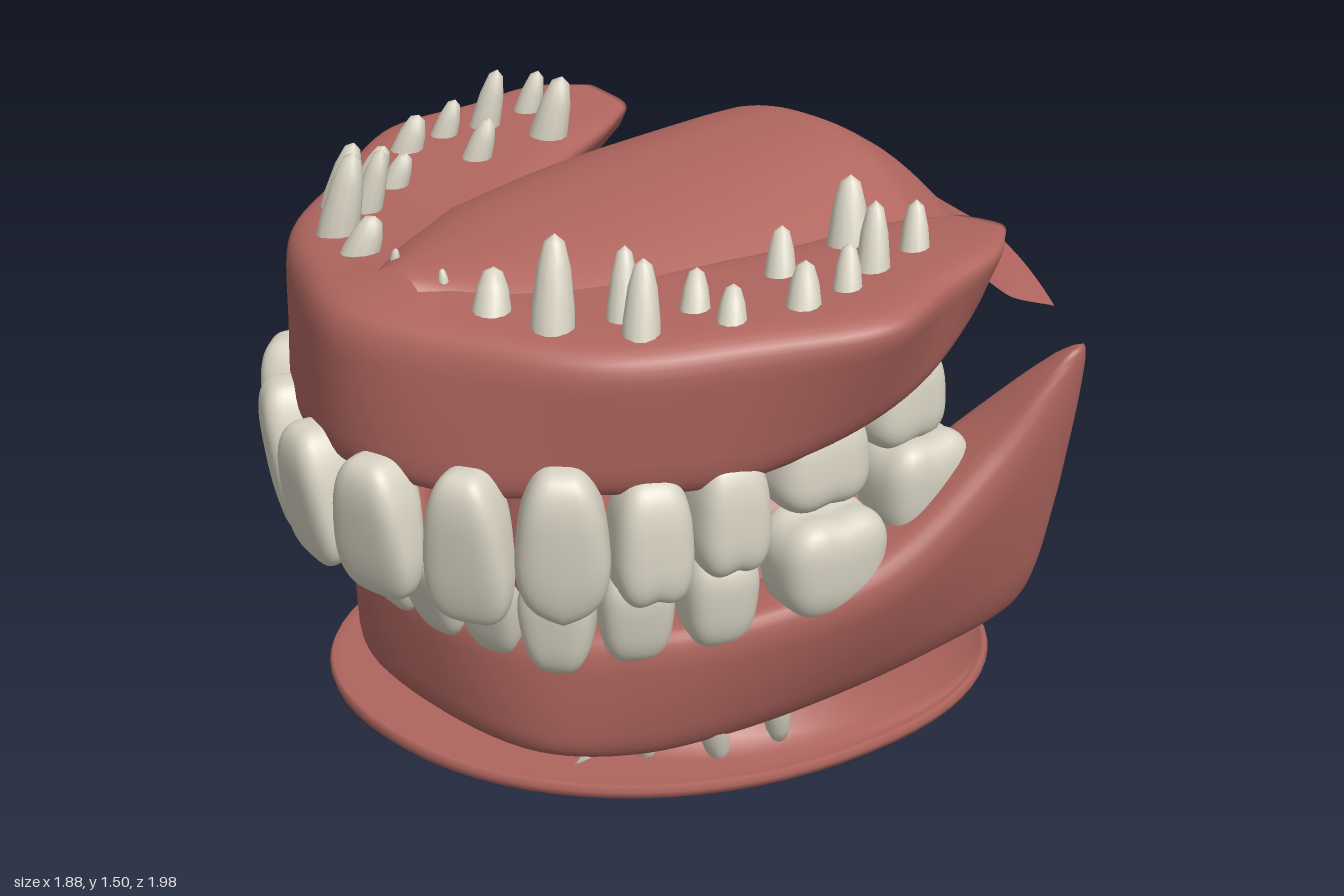
import * as THREE from 'three';
import { mergeVertices } from 'three/addons/utils/BufferGeometryUtils.js';

const gumMat = new THREE.MeshStandardMaterial({ color: 0xb0665f, side: THREE.DoubleSide });
gumMat.name = 'gum pink';
const toothMat = new THREE.MeshStandardMaterial({ color: 0xd8d3c3 });
toothMat.name = 'tooth ivory';

const V = (x, y, z) => new THREE.Vector3(x, y, z);
const pow = (q, p) => Math.sign(q) * Math.pow(Math.abs(q), p);

function add(parent, name, geo, mat) {
  const m = new THREE.Mesh(geo, mat);
  m.name = name;
  parent.add(m);
  return m;
}

// Skin a list of equal-length rings; optionally wrap them round and cap the ends
function loft(rings, wrap, caps) {
  const n = rings[0].length, pts = rings.flat(), idx = [];
  for (let i = 0; i < rings.length - 1; i++)
    for (let j = 0; j < (wrap ? n : n - 1); j++) {
      const k = (j + 1) % n, a = i * n + j, b = i * n + k;
      idx.push(a, a + n, b, b, a + n, b + n);
    }
  if (caps) {
    const last = (rings.length - 1) * n, c = pts.length;
    for (const ring of [rings[0], rings[rings.length - 1]])
      pts.push(ring.reduce((s, p) => s.add(p), V(0, 0, 0)).divideScalar(n));
    for (let j = 0; j < n; j++) {
      const k = (j + 1) % n;
      idx.push(c, j, k, c + 1, last + k, last + j);
    }
  }
  const g = new THREE.BufferGeometry().setFromPoints(pts);
  g.setIndex(idx);
  g.computeVertexNormals();
  return g;
}

// Horseshoe gum: each station lists outer-top, outer-bottom, inner-bottom, inner-top corners;
// bulge swells (or hollows) the outer wall
function horseshoe(stations, bulge) {
  const mirror = stations.slice(1).reverse().map(s => s.map((v, i) => (i % 3 ? v : -v)));
  const all = [...mirror, ...stations];
  const [A, B, C, D] = [0, 3, 6, 9].map(o =>
    new THREE.CatmullRomCurve3(all.map(s => V(s[o], s[o + 1], s[o + 2]))));
  const rings = [], N = 98, M = 36;
  for (let i = 0; i <= N; i++) {
    const [a, b, c, d] = [A, B, C, D].map(q => q.getPoint(i / N));
    const side = Math.min(1, Math.abs(i / N - 0.5) * 4), ring = [];
    for (let j = 0; j < M; j++) {
      const t = j / M * Math.PI * 2;
      const v = (pow(Math.sin(t), 0.44) + 1) / 2, w = (pow(Math.cos(t), 0.44) + 1) / 2;
      const u = w * (1 + bulge * side * 4 * v * (1 - v));
      ring.push(d.clone().lerp(a, u).multiplyScalar(v).add(c.clone().lerp(b, u).multiplyScalar(1 - v)));
    }
    rings.push(ring);
  }
  return loft(rings, true, true);
}

// Tooth crown, neck up and biting edge down
function toothGeometry(w, h, d, kind) {
  let g = new THREE.SphereGeometry(1, 32, 24);
  const p = g.attributes.position;
  for (let i = 0; i < p.count; i++) {
    const x = pow(p.getX(i), 0.55), z = pow(p.getZ(i), 0.65);
    let y = pow(p.getY(i), 0.7);
    const t = (y + 1) / 2;
    let fx = 1.12 - 0.36 * t * t, fz = 0.45 + 0.55 * t;
    if (kind === 'canine') { y += 0.22 * (1 - t) * Math.abs(x); fz = 0.6 + 0.4 * t; }
    if (kind === 'molar') {
      y -= 0.16 * (1 - t) * (Math.abs(z) + 0.5 * Math.abs(Math.sin(x * 3)) - 0.7);
      fx = 1.08 - 0.2 * t * t;
      fz = 0.95 - 0.1 * t;
    }
    p.setXYZ(i, x * fx * w / 2, y * h / 2, z * fz * d / 2);
  }
  g.deleteAttribute('uv');
  g.deleteAttribute('normal');
  g = mergeVertices(g, 1e-4);
  g.computeVertexNormals();
  return g;
}

// Rows of x, y, z, width, height, depth, yaw, tilt
function toothRow(group, rows, name, lower) {
  rows.forEach(([x, y, z, w, h, d, yaw, tilt], i) => {
    const kind = i < 2 ? 'incisor' : i < 3 ? 'canine' : 'molar';
    const geo = toothGeometry(w, h, d, kind);
    for (const s of [1, -1]) {
      const m = add(group, name + ' ' + kind, geo, toothMat);
      m.position.set(s * x, y, z);
      m.rotation.set(tilt, s * yaw, lower ? Math.PI : 0, 'YXZ');
    }
  });
}

// Mirrored pair of tapering root tips
const rootGeo = new THREE.LatheGeometry(
  [[1, 0], [0.95, 0.35], [0.75, 0.7], [0.45, 0.93], [0, 1]].map(([x, y]) => new THREE.Vector2(x, y)), 12);
function roots(group, name, x, y, z, tx, ty, tz, r) {
  for (const s of [1, -1]) {
    const from = V(s * x, y, z), dir = V(s * tx, ty, tz).sub(from);
    const m = add(group, name, rootGeo, toothMat);
    m.position.copy(from);
    m.scale.set(r, dir.length(), r);
    m.quaternion.setFromUnitVectors(V(0, 1, 0), dir.normalize());
  }
}

export function createModel() {
  const model = new THREE.Group();
  model.name = 'jaws';

  // Gums
  add(model, 'upperGum', horseshoe([
    [0, 1.31, 0.92, 0, 0.93, 0.92, 0, 1, 0.7, 0, 1.35, 0.66],
    [0.29, 1.31, 0.81, 0.32, 0.93, 0.83, 0.24, 1.02, 0.62, 0.12, 1.33, 0.59],
    [0.57, 1.31, 0.65, 0.52, 0.95, 0.65, 0.36, 1, 0.5, 0.15, 1.32, 0.44],
    [0.76, 1.33, 0.38, 0.66, 0.94, 0.4, 0.46, 1, 0.34, 0.21, 1.32, 0.24],
    [0.91, 1.35, 0.13, 0.75, 1, 0.13, 0.52, 1.05, 0.12, 0.31, 1.33, 0.03],
    [0.85, 1.37, -0.1, 0.77, 1.07, -0.08, 0.56, 1.1, -0.08, 0.38, 1.34, -0.12],
    [0.82, 1.38, -0.28, 0.73, 1.16, -0.26, 0.58, 1.18, -0.26, 0.44, 1.35, -0.26],
    [0.72, 1.37, -0.4, 0.69, 1.26, -0.39, 0.57, 1.27, -0.38, 0.54, 1.35, -0.4],
  ], -0.03), gumMat);
  add(model, 'lowerGum', horseshoe([
    [0, 0.57, 0.73, 0, 0.24, 0.71, 0, 0.27, 0.5, 0, 0.57, 0.53],
    [0.31, 0.57, 0.66, 0.32, 0.24, 0.66, 0.23, 0.27, 0.45, 0.24, 0.57, 0.48],
    [0.52, 0.59, 0.51, 0.47, 0.24, 0.5, 0.36, 0.27, 0.37, 0.38, 0.59, 0.4],
    [0.69, 0.63, 0.29, 0.57, 0.26, 0.29, 0.46, 0.29, 0.25, 0.5, 0.62, 0.27],
    [0.83, 0.72, 0.05, 0.65, 0.29, 0.03, 0.54, 0.33, 0.03, 0.58, 0.72, 0.05],
    [0.91, 0.94, -0.19, 0.73, 0.34, -0.2, 0.57, 0.38, -0.24, 0.66, 0.91, -0.22],
    [0.955, 1.165, -0.4, 0.79, 0.4, -0.4, 0.58, 0.44, -0.43, 0.86, 1.11, -0.42],
    [0.81, 0.95, -0.55, 0.75, 0.46, -0.52, 0.7, 0.47, -0.53, 0.75, 0.92, -0.57],
  ], 0.14), gumMat);

  // Palate sheet with a hanging uvula: half width, middle height, edge height along the depth
  const palate = new THREE.CatmullRomCurve3([V(0.09, 1.36, 1.31), V(0.26, 1.36, 1.27), V(0.42, 1.38, 1.25),
    V(0.47, 1.41, 1.25), V(0.45, 1.43, 1.25), V(0.43, 1.44, 1.24), V(0.43, 1.37, 1.14),
    V(0.43, 1.22, 1.01), V(0.43, 1.11, 0.94)]);
  const palateZ = [0.75, 0.6, 0.35, 0, -0.25, -0.45, -0.6, -0.77, -0.94];
  const rows = [];
  for (let i = 0; i <= 64; i++) {
    const f = i / 8, k = Math.min(7, Math.floor(f));
    const z = palateZ[k] + (palateZ[k + 1] - palateZ[k]) * (f - k);
    const q = palate.getPoint(i / 64), drop = Math.max(0, (-z - 0.76) / 0.18), row = [];
    for (let j = 0; j <= 40; j++) {
      const u = 1 - j / 20, x = u * q.x, bump = drop * Math.exp(-((x / 0.07) ** 2));
      row.push(V(x, q.y - (q.y - q.z) * Math.abs(u) ** 2.5 - 0.24 * drop * bump, z - 0.06 * bump));
    }
    rows.push(row);
  }
  add(model, 'palate', loft(rows, false, false), gumMat);

  // Tongue: domed body, flatter below and longer in front
  const tongueGeo = new THREE.SphereGeometry(1, 48, 32);
  const tp = tongueGeo.attributes.position;
  for (let i = 0; i < tp.count; i++) {
    const y = tp.getY(i), z = tp.getZ(i);
    tp.setXYZ(i, tp.getX(i) * 0.56, 0.42 + y * (y > 0 ? 0.5 : 0.42), -0.25 + z * (z > 0 ? 0.66 : 0.59));
  }
  tongueGeo.computeVertexNormals();
  add(model, 'tongue', tongueGeo, gumMat);

  // Tilted floor rim flaring up into a cup round the tongue: height, slope, centre z, radii
  const ring = ([y, slope, cz, rx, rz]) => Array.from({ length: 72 }, (_, j) => {
    const a = j / 72 * Math.PI * 2, z = cz + rz * pow(Math.sin(a), 0.92);
    return V(rx * pow(Math.cos(a), 0.92), y + slope * z, z);
  });
  add(model, 'floorCup', loft([
    [0.165, 0.1, -0.04, 0.65, 0.83], [0.148, 0.1, -0.035, 0.67, 0.85], [0.148, 0.1, -0.035, 0.69, 0.868],
    [0.165, 0.1, -0.035, 0.697, 0.872], [0.18, 0.1, -0.035, 0.69, 0.865], [0.172, 0.1, -0.04, 0.672, 0.852],
    [0.174, 0.1, -0.14, 0.645, 0.75], [0.19, 0.1, -0.21, 0.62, 0.675], [0.32, 0.09, -0.235, 0.595, 0.64],
    [0.48, 0.07, -0.25, 0.57, 0.605], [0.49, 0.07, -0.25, 0.54, 0.575],
  ].map(ring), true, false), gumMat);

  // Teeth
  toothRow(model, [
    [0.111, 0.85, 0.91, 0.205, 0.33, 0.16, 0.16, 0],
    [0.32, 0.85, 0.83, 0.185, 0.36, 0.16, 0.45, 0],
    [0.472, 0.865, 0.7, 0.19, 0.37, 0.18, 0.85, 0],
    [0.555, 0.86, 0.53, 0.17, 0.29, 0.19, 1.15, 0],
    [0.605, 0.89, 0.36, 0.17, 0.28, 0.21, 1.3, 0],
    [0.635, 0.965, 0.14, 0.24, 0.23, 0.24, 1.45, 0],
    [0.65, 1.045, -0.1, 0.22, 0.23, 0.23, 1.6, 0],
  ], 'upper', false);
  toothRow(model, [
    [0.08, 0.62, 0.74, 0.145, 0.25, 0.13, 0.08, 0.5],
    [0.225, 0.62, 0.7, 0.145, 0.26, 0.13, 0.3, 0.45],
    [0.358, 0.62, 0.62, 0.16, 0.28, 0.16, 0.65, 0.25],
    [0.475, 0.64, 0.5, 0.16, 0.24, 0.17, 1, 0.15],
    [0.575, 0.67, 0.355, 0.165, 0.24, 0.19, 1.2, 0.1],
    [0.68, 0.715, 0.13, 0.26, 0.25, 0.22, 1.4, 0.05],
    [0.71, 0.835, -0.12, 0.23, 0.25, 0.21, 1.5, 0.05],
  ], 'lower', true);

  // Root tips above the upper gum: x, z, tip height, radius
  for (const [x, z, tip, r] of [[0.23, 0.68, 1.4, 0.045], [0.37, 0.63, 1.5, 0.048], [0.44, 0.5, 1.46, 0.036],
    [0.52, 0.52, 1.46, 0.042], [0.52, 0.37, 1.4, 0.036], [0.62, 0.36, 1.39, 0.036], [0.68, 0.21, 1.42, 0.042],
    [0.52, 0.12, 1.43, 0.038], [0.69, 0.09, 1.43, 0.036], [0.66, -0.02, 1.49, 0.04], [0.51, -0.1, 1.49, 0.05],
    [0.66, -0.15, 1.46, 0.038]])
    roots(model, 'upper root', x + 0.01, 1.27, z + 0.01, x - 0.025, tip, z - 0.03, r);
  roots(model, 'upper root', 0.09, 1.3, 0.69, 0.08, 1.37, 0.69, 0.014);

  // Root tips below the lower gum
  roots(model, 'lower root', 0.33, 0.25, 0.58, 0.3, 0.06, 0.39, 0.045);
  roots(model, 'lower root', 0.14, 0.25, 0.6, 0.13, 0.09, 0.46, 0.03);
  roots(model, 'lower root', 0.06, 0.25, 0.6, 0.05, 0.1, 0.47, 0.027);
  roots(model, 'lower root', 0.43, 0.3, 0.45, 0.42, 0.19, 0.41, 0.03);
  roots(model, 'lower root', 0.53, 0.32, 0.32, 0.52, 0.18, 0.28, 0.038);
  roots(model, 'lower root', 0.57, 0.34, 0.16, 0.56, 0.19, 0.13, 0.038);
  return model;
}
